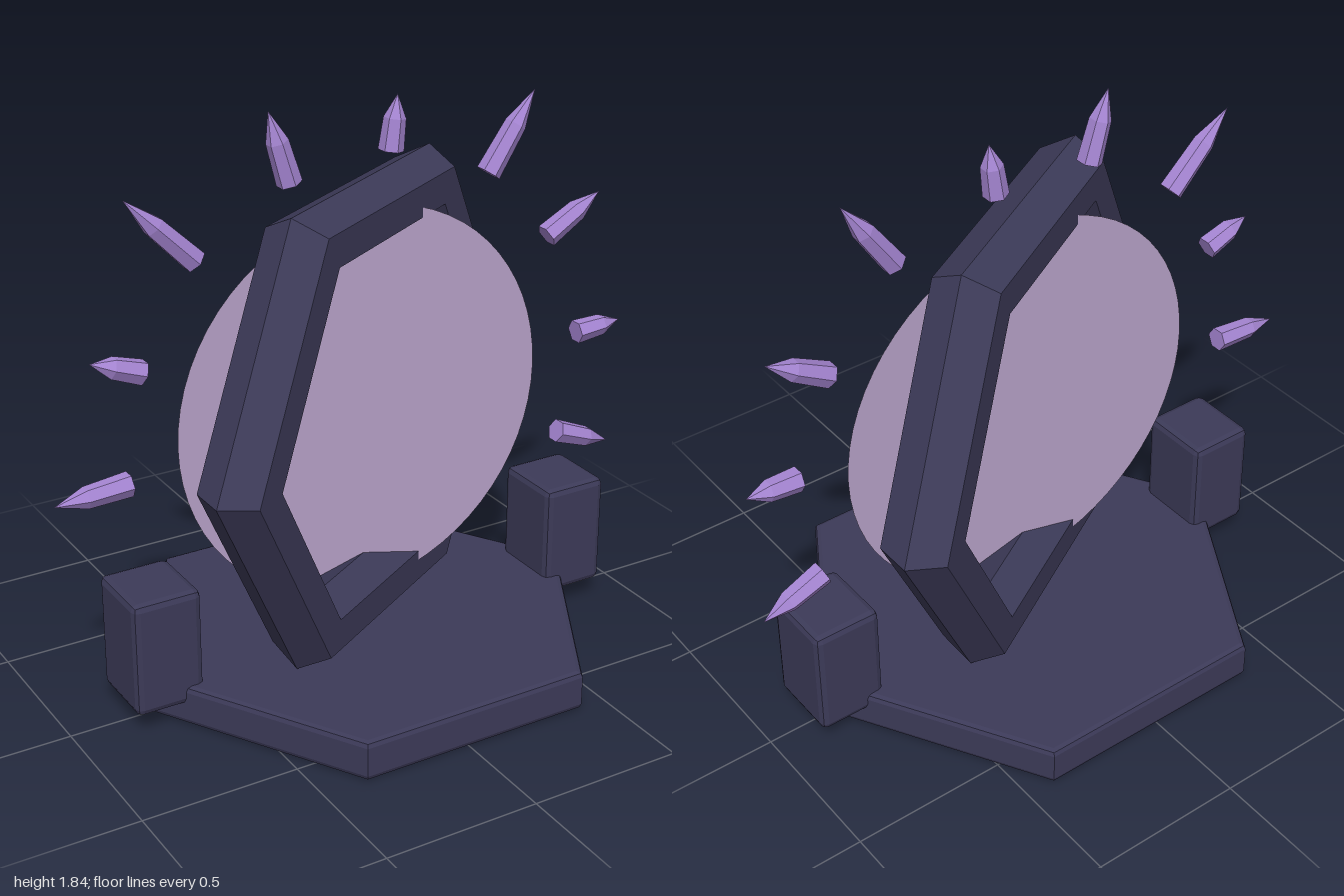
import * as THREE from 'three';
import { RoundedBoxGeometry } from 'three/addons/geometries/RoundedBoxGeometry.js';

const CX = 0.026; // shared centre line of base, ring and disc
const RING_Y = 0.86;

export function createModel() {
  const group = new THREE.Group();
  const stone = new THREE.MeshStandardMaterial({ color: 0x3c3a58, flatShading: true });
  stone.name = 'dark slate stone';
  const crystal = new THREE.MeshStandardMaterial({ color: 0xa585d2, flatShading: true });
  crystal.name = 'violet crystal';
  const glow = new THREE.MeshStandardMaterial({ color: 0xb8a2c9, side: THREE.DoubleSide });
  glow.name = 'pale lilac portal';

  const add = (name, geometry, material, x, y, z) => {
    const mesh = new THREE.Mesh(geometry, material);
    mesh.name = name;
    mesh.position.set(x, y, z);
    group.add(mesh);
    return mesh;
  };

  // Hexagonal base slab with a small chamfer
  const bevel = 0.018;
  const corners = [];
  for (let i = 0; i < 6; i++) {
    const a = (i * Math.PI) / 3;
    corners.push(new THREE.Vector2(Math.cos(a) * 0.766, Math.sin(a) * 0.766));
  }
  const slab = new THREE.ExtrudeGeometry(new THREE.Shape(corners), {
    depth: 0.13 - 2 * bevel,
    bevelEnabled: true,
    bevelSegments: 2,
    bevelThickness: bevel,
    bevelSize: bevel,
    bevelOffset: -bevel,
  });
  slab.translate(0, 0, bevel);
  slab.rotateX(-Math.PI / 2);
  add('base', slab, stone, CX, 0, 0);

  // Six-sided ring with a six-sided section, turned on the base
  const ring = add('ring', new THREE.TorusGeometry(0.715, 0.12, 6, 6), stone, CX, RING_Y, 0);
  ring.rotation.y = Math.PI / 6;

  // Flat portal disc facing the front
  add('portalDisc', new THREE.CircleGeometry(0.635, 64), glow, CX, RING_Y, 0);

  // Side blocks
  for (const side of [-1, 1]) {
    add(side > 0 ? 'leftBlock' : 'rightBlock',
      new RoundedBoxGeometry(0.224, 0.375, 0.248, 1, 0.022), stone,
      CX + side * 0.743, 0.258, -0.002);
  }

  // Floating shards: base x, base y, tip x, tip y
  const shards = [
    [-0.76, 0.777, -1.0, 0.76],
    [-0.718, 1.132, -0.88, 1.19],
    [-0.527, 1.424, -0.742, 1.64],
    [-0.232, 1.615, -0.298, 1.837],
    [0.128, 1.65, 0.15, 1.818],
    [0.458, 1.535, 0.622, 1.775],
    [0.708, 1.28, 0.908, 1.395],
    [0.817, 0.942, 0.99, 0.952],
    [0.778, 0.588, 0.99, 0.505],
  ];
  const up = new THREE.Vector3(0, 1, 0);
  shards.forEach(([bx, by, tx, ty], i) => {
    const dir = new THREE.Vector3(tx - bx, ty - by, 0);
    const len = dir.length();
    const profile = [[0, 0], [0.039, 0], [0.034, 0.58], [0, 1]]
      .map(([r, t]) => new THREE.Vector2(r, t * len));
    const shard = add(`crystalShard${i + 1}`, new THREE.LatheGeometry(profile, 6), crystal,
      bx, by, i % 2 ? 0.014 : -0.016);
    shard.quaternion.setFromUnitVectors(up, dir.normalize());
  });

  return group;
}
